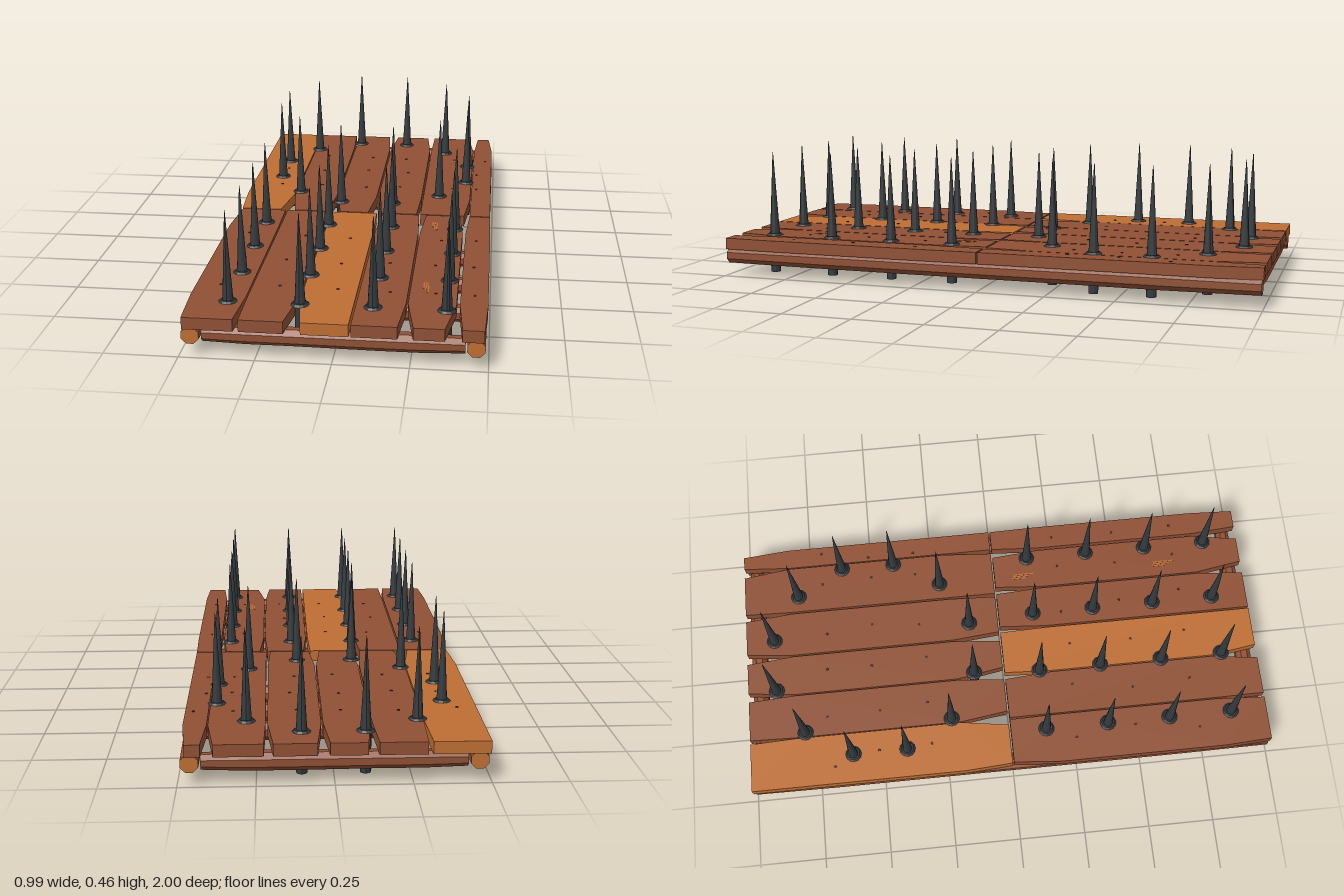
import * as THREE from 'three';

export function createModel() {
  const mat = (name, color) => {
    const m = new THREE.MeshStandardMaterial({ color });
    m.name = name;
    m.flatShading = true;
    return m;
  };
  const brown = mat('brownWood', 0x8f5034);
  const orange = mat('freshWood', 0xbe6e33);
  const iron = mat('darkIron', 0x343a3e);
  const nailMat = mat('nailHoles', 0x4a281a);

  const root = new THREE.Group();
  root.name = 'spikedPlatform';
  const add = (parent, name, geometry, material, x = 0, y = 0, z = 0) => {
    const mesh = new THREE.Mesh(geometry, material);
    mesh.name = name;
    mesh.position.set(x, y, z);
    parent.add(mesh);
  };
  let seed = 7;
  const rand = () => (seed = (seed * 16807) % 2147483647) / 2147483647;

  // Planks: a straight board whose corners are trimmed over the last stretch of each end
  const BOTTOM = 0.1, TOP = 0.142, TRIM = 0.18;
  const deck = new THREE.Group();
  deck.name = 'deck';
  root.add(deck);
  const plank = (material, z0, z1, x0, x1, backLeft, backRight, frontLeft, frontRight) => {
    const outline = [
      [x0 + backLeft, z0], [x0, z0 + TRIM], [x0, z1 - TRIM], [x0 + frontLeft, z1],
      [x1 - frontRight, z1], [x1, z1 - TRIM], [x1, z0 + TRIM], [x1 - backRight, z0],
    ].map(([x, z]) => new THREE.Vector2(x, -z));
    const g = new THREE.ExtrudeGeometry(new THREE.Shape(outline), { depth: TOP - BOTTOM, bevelEnabled: false });
    g.rotateX(-Math.PI / 2);
    add(deck, 'plank', g, material, 0, BOTTOM, 0);
  };
  // Each row: both sides in x, then the trim of the four corners
  const backRow = [
    [-0.495, -0.303, 0, 0.007, 0.012, 0.027],
    [-0.3, -0.13, 0.005, 0.01, 0.025, 0.015],
    [-0.125, 0.032, 0.02, 0.017, 0.03, 0.017],
    [0.038, 0.213, 0.017, 0.018, 0.017, 0.008],
    [0.22, 0.408, 0.005, 0.023, 0, 0.018],
    [0.412, 0.49, 0.013, 0.015, 0, 0],
  ];
  const frontRow = [
    [-0.495, -0.307, 0.015, 0.003, 0.01, 0.011],
    [-0.302, -0.132, 0, 0.013, 0.002, 0.023],
    [-0.127, 0.055, 0.009, 0.005, 0.027, 0],
    [0.062, 0.225, 0.013, 0.01, 0, 0.015],
    [0.231, 0.39, 0.014, 0.015, 0.029, 0.03],
    [0.401, 0.493, 0.011, 0.003, 0.014, 0.008],
  ];
  backRow.forEach((row, i) => plank(i === 0 ? orange : brown, -1, -0.003, ...row));
  frontRow.forEach((row, i) => plank(i === 2 ? orange : brown, 0.003, 1, ...row));

  // Rough logs along z with pale sawn ends and a slight bulge
  const log = (name, length, radius, taper) => {
    const g = new THREE.CylinderGeometry(radius, radius, length, 8, 6);
    g.rotateY(Math.PI / 8);
    g.rotateX(Math.PI / 2);
    const p = g.attributes.position;
    for (let i = 0; i < p.count; i++) {
      const t = Math.abs(p.getZ(i)) / (length / 2);
      const k = t > 0.99 ? taper : 1 + 0.03 * Math.sin(p.getZ(i) * 9);
      p.setXY(i, p.getX(i) * k, p.getY(i) * k);
    }
    g.computeVertexNormals();
    const mesh = new THREE.Mesh(g, [brown, orange, orange]);
    mesh.name = name;
    root.add(mesh);
    return mesh;
  };
  for (const s of [1, -1]) {
    log(s > 0 ? 'leftRail' : 'rightRail', 1.99, 0.034, 0.92).position.set(s * 0.46, 0.076, 0);
  }
  const barZ = [-0.96, -0.69, -0.5, -0.31, 0.26, 0.5, 0.73, 0.96];
  for (const z of barZ) {
    const bar = log('crossbar', 0.85, 0.032, 0.86);
    bar.rotation.y = Math.PI / 2;
    bar.position.set(0, 0.073, z);
  }

  // Nail heads where the planks cross the inner bars
  const nail = new THREE.CylinderGeometry(0.006, 0.006, 0.002, 6);
  for (const z of barZ.slice(1, -1)) {
    for (const [x0, x1] of z < 0 ? backRow : frontRow) {
      const x = (x0 + x1) / 2 + (rand() - 0.5) * 0.06;
      add(deck, 'nail', nail, nailMat, x, TOP + 0.0005, z + (rand() - 0.5) * 0.03);
    }
  }

  // Pale splintered patches on one plank
  for (const z of [0.11, 0.68]) {
    for (let i = 0; i < 3; i++) {
      const sliver = new THREE.BoxGeometry(0.005, 0.002, 0.05 + 0.015 * i);
      add(deck, 'splinter', sliver, orange, 0.275 + i * 0.008, TOP, z + (i - 1) * 0.01);
    }
  }

  // Spikes: a ring on the back half, a four by four grid on the front half
  const shaft = new THREE.CylinderGeometry(0.018, 0.018, 0.145, 12);
  const collar = new THREE.CylinderGeometry(0.024, 0.032, 0.008, 12);
  const point = new THREE.CylinderGeometry(0.001, 0.0185, 0.315, 12);
  const spike = (x, z) => {
    const g = new THREE.Group();
    g.name = 'spike';
    g.position.set(x, 0, z);
    add(g, 'shaft', shaft, iron, 0, 0.0725, 0);
    add(g, 'collar', collar, iron, 0, 0.145, 0);
    add(g, 'point', point, iron, 0, 0.3025, 0);
    root.add(g);
  };
  for (let i = 0; i < 12; i++) {
    const a = ((i + 0.5) * Math.PI) / 6;
    spike(0.4 * Math.sin(a), -0.503 + 0.4 * Math.cos(a));
  }
  for (const x of [-0.36, -0.12, 0.12, 0.36]) {
    for (const z of [0.14, 0.38, 0.62, 0.86]) spike(x, z);
  }
  return root;
}
